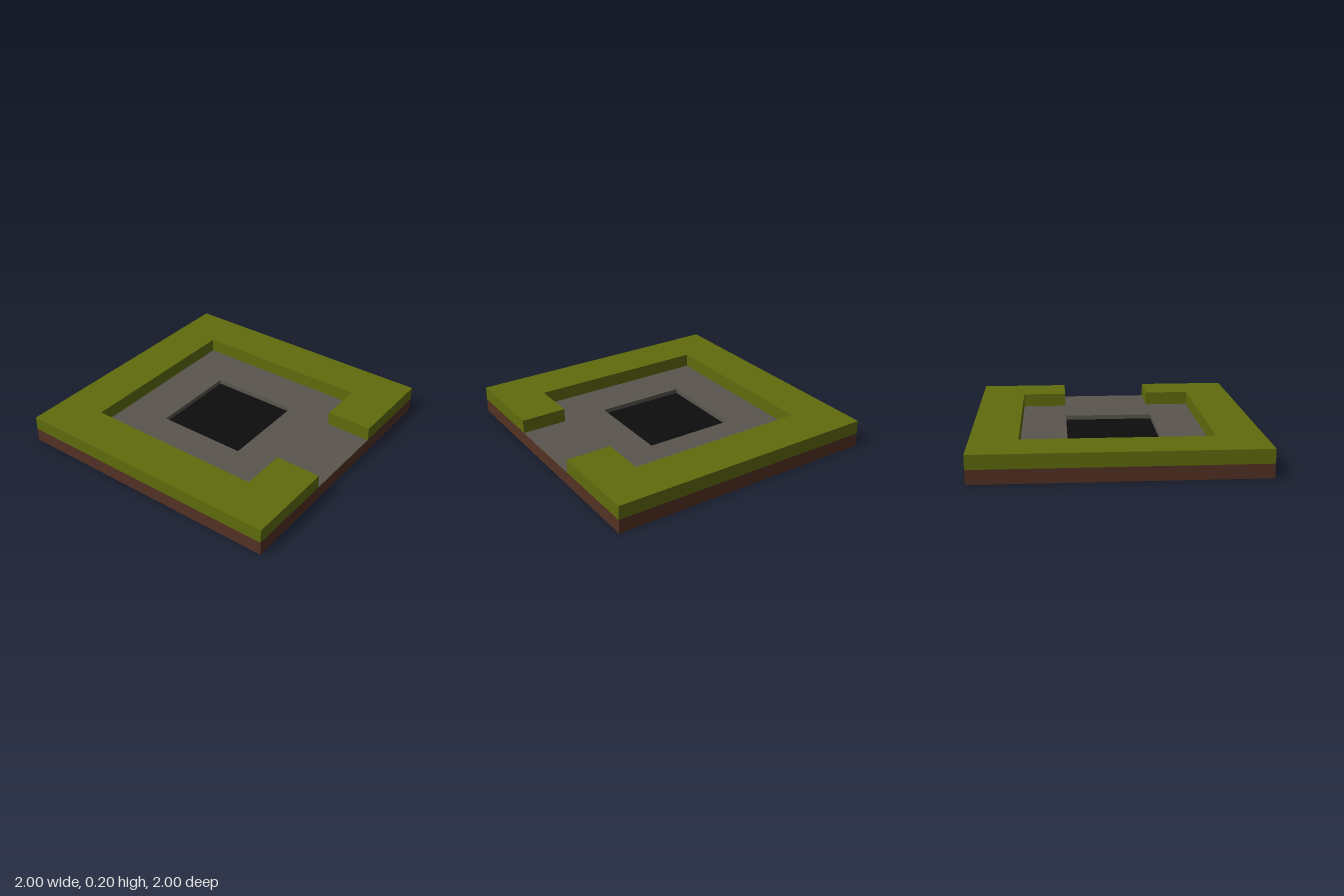
import * as THREE from 'three';

const T = 1 / 3;
const BASE = 0.1, TOP = 0.2, PIT = 0.067;

const mat = (name, color, extra = {}) => {
  const m = new THREE.MeshStandardMaterial({ color, ...extra });
  m.name = name;
  return m;
};

const rectangle = (h) => [[-h, -h], [h, -h], [h, h], [-h, h]].map(([x, y]) => new THREE.Vector2(x, y));

// Four upright walls of a square, open above and below
function squareWalls(half, y0, y1, inward) {
  const r = half * Math.SQRT2;
  const g = new THREE.CylinderGeometry(r, r, y1 - y0, 4, 1, true, Math.PI / 4).toNonIndexed();
  if (inward) g.scale(-1, 1, 1);
  if (inward) {
    // Swap two corners of every triangle so that the faces look inward
    const p = g.attributes.position;
    const a = new THREE.Vector3(), b = new THREE.Vector3();
    // Mirroring has already reversed the winding; restore x so only the facing changes
    for (let i = 0; i < p.count; i += 3) {
      a.fromBufferAttribute(p, i);
      b.fromBufferAttribute(p, i + 1);
      p.setX(i, a.x);
      p.setX(i + 1, b.x);
    }
  }
  g.translate(0, (y0 + y1) / 2, 0);
  g.computeVertexNormals();
  return g;
}

export function createModel() {
  const group = new THREE.Group();
  const grass = mat('grass green', 0x5f6b0c);
  const soil = mat('soil brown', 0x533224);
  const stone = mat('stone grey', 0x5a564e);
  const dark = mat('pit black', 0x0d0d0d);

  const add = (name, geometry, material) => {
    const m = new THREE.Mesh(geometry, material);
    m.name = name;
    group.add(m);
  };

  // Soil slab: sides and underside
  add('soilSides', squareWalls(1, 0, BASE, false), soil);
  add('soilUnderside', new THREE.PlaneGeometry(2, 2).rotateX(Math.PI / 2), soil);

  // Stone paving with a square opening
  const paving = new THREE.Shape(rectangle(1));
  paving.holes.push(new THREE.Path(rectangle(T).reverse()));
  add('paving', new THREE.ShapeGeometry(paving).rotateX(-Math.PI / 2).translate(0, BASE, 0), stone);

  // Shallow pit in the middle
  add('pitWalls', squareWalls(T, PIT, BASE, true), stone);
  add('pitFloor', new THREE.PlaneGeometry(2 * T, 2 * T).rotateX(-Math.PI / 2).translate(0, PIT, 0), dark);

  // Raised turf border with a gap on the +x side
  const turf = new THREE.Shape([
    [1, -T], [2 * T, -T], [2 * T, -2 * T], [-2 * T, -2 * T], [-2 * T, 2 * T], [2 * T, 2 * T],
    [2 * T, T], [1, T], [1, 1], [-1, 1], [-1, -1], [1, -1],
  ].map(([x, y]) => new THREE.Vector2(x, y)));
  const turfGeometry = new THREE.ExtrudeGeometry(turf, { depth: TOP - BASE, bevelEnabled: false });
  add('turfBorder', turfGeometry.rotateX(-Math.PI / 2).translate(0, BASE, 0), grass);

  return group;
}
